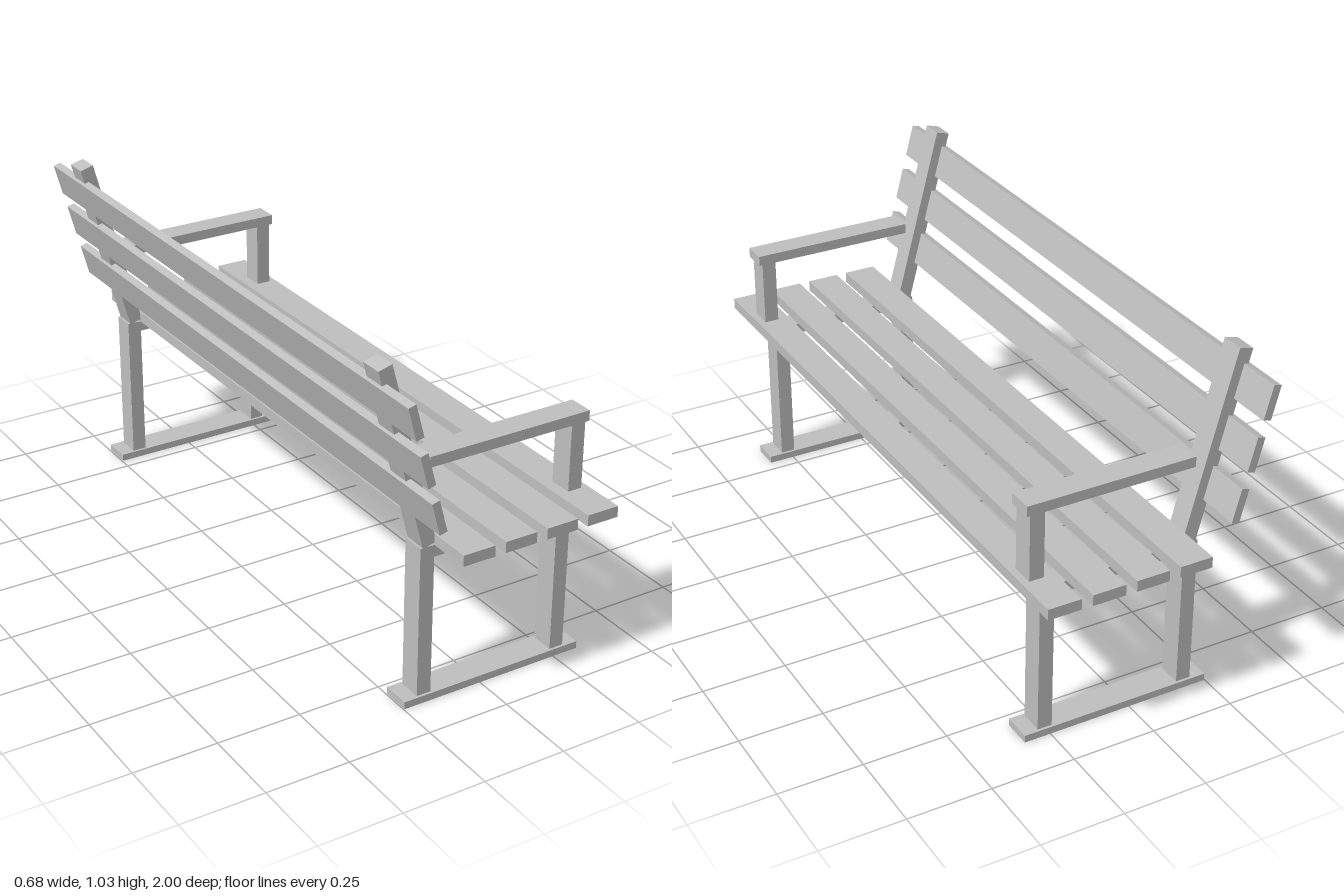
import * as THREE from 'three';

const SIDE_Z = 0.833;      // distance of each side frame from the middle
const TILT = 0.263;        // backward lean of the backrest

export function createModel() {
  const bench = new THREE.Group();
  bench.name = 'bench';
  const grey = new THREE.MeshStandardMaterial({ color: 0xc0c0c0 });
  grey.name = 'plain grey';

  // Box given by its x and y limits and its depth along z
  function bar(parent, name, x0, x1, y0, y1, depth) {
    const mesh = new THREE.Mesh(new THREE.BoxGeometry(x1 - x0, y1 - y0, depth), grey);
    mesh.position.set((x0 + x1) / 2, (y0 + y1) / 2, 0);
    mesh.name = name;
    parent.add(mesh);
    return mesh;
  }

  // Leaning box given by its centre
  function leaningBar(parent, name, x, y, thickness, height, depth) {
    const mesh = bar(parent, name, x - thickness / 2, x + thickness / 2, y - height / 2, y + height / 2, depth);
    mesh.rotation.z = TILT;
    return mesh;
  }

  // Two side frames: foot, legs, seat rail, armrest and leaning back post
  for (const side of [1, -1]) {
    const frame = new THREE.Group();
    frame.name = side > 0 ? 'leftFrame' : 'rightFrame';
    frame.position.z = side * SIDE_Z;
    bar(frame, 'foot', -0.247, 0.33, 0, 0.022, 0.086);
    bar(frame, 'rearLeg', -0.203, -0.159, 0.022, 0.445, 0.07);
    bar(frame, 'frontLeg', 0.242, 0.286, 0.022, 0.445, 0.07);
    bar(frame, 'seatRail', -0.203, 0.308, 0.445, 0.478, 0.07);
    bar(frame, 'armPost', 0.275, 0.319, 0.511, 0.712, 0.07);
    bar(frame, 'armrest', -0.181, 0.33, 0.712, 0.743, 0.076);
    leaningBar(frame, 'backPost', -0.248, 0.754, 0.043, 0.566, 0.07);
    bench.add(frame);
  }

  // Four seat slats
  for (let i = 0; i < 4; i++) {
    const x = -0.11 + i * 0.1335;
    bar(bench, 'seatSlat', x - 0.05, x + 0.05, 0.478, 0.511, 2);
  }

  // Three backrest slats let into the rear of the posts
  for (let i = 0; i < 3; i++) {
    leaningBar(bench, 'backSlat', -0.238 - i * 0.039, 0.644 + i * 0.1435, 0.024, 0.1, 2);
  }

  return bench;
}
